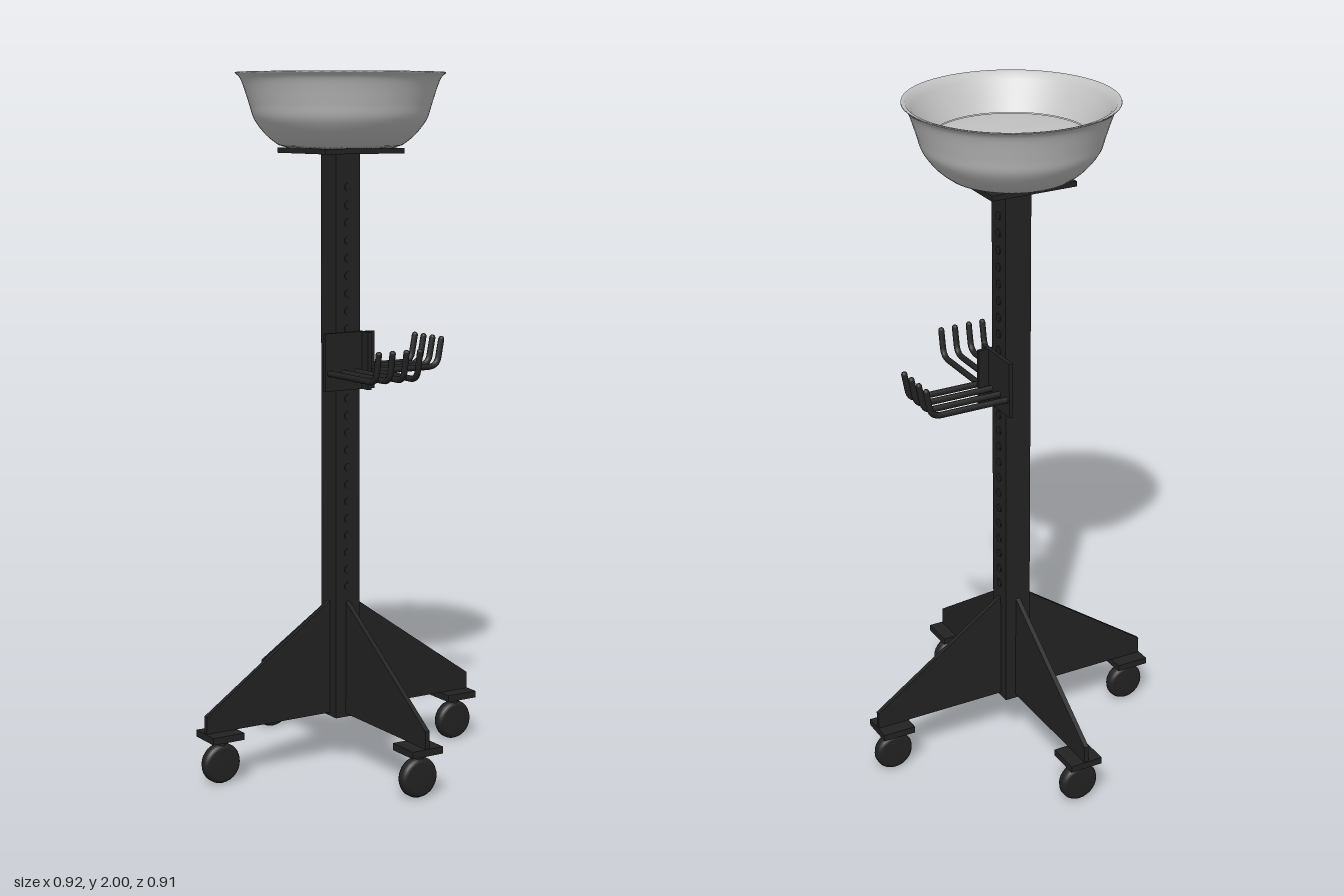
import * as THREE from 'three';

export function createModel() {
  const black = new THREE.MeshStandardMaterial({ color: 0x222222 });
  black.name = 'black metal';
  const grey = new THREE.MeshStandardMaterial({ color: 0xc4c4c4, side: THREE.DoubleSide });
  grey.name = 'grey bowl';

  const model = new THREE.Group();
  model.name = 'rollingStand';

  function add(parent, name, geometry, material, x = 0, y = 0, z = 0) {
    const mesh = new THREE.Mesh(geometry, material);
    mesh.name = name;
    mesh.position.set(x, y, z);
    parent.add(mesh);
    return mesh;
  }
  const points = (list) => list.map(([r, y]) => new THREE.Vector2(r, y));

  // Square post and the plate under the bowl
  add(model, 'post', new THREE.BoxGeometry(0.08, 1.64, 0.08), black, 0, 0.96, 0);
  add(model, 'topPlate', new THREE.BoxGeometry(0.26, 0.015, 0.26), black, 0, 1.782, 0);

  // Bowl: outer shell, rolled rim and inner wall in one profile
  const bowl = new THREE.Group();
  bowl.name = 'bowl';
  model.add(bowl);
  const wall = new THREE.SplineCurve(points([
    [0.175, 1.797], [0.21, 1.825], [0.243, 1.868], [0.257, 1.91], [0.273, 1.96], [0.284, 1.985], [0.297, 1.997],
  ])).getPoints(24);
  add(bowl, 'bowlShell', new THREE.LatheGeometry([
    ...points([[0, 1.79], [0.15, 1.79]]), ...wall,
    ...points([[0.296, 2], [0.285, 1.997], [0.27, 1.98], [0.252, 1.95], [0.217, 1.9]]),
  ], 64), grey);
  add(bowl, 'bowlFloor', new THREE.LatheGeometry(
    points([[0.217, 1.898], [0.17, 1.904], [0.1, 1.91], [0, 1.913]]), 64), grey);

  // Four tapered legs with swivel casters
  const legShape = new THREE.Shape(points([
    [0, 0.15], [0.45, 0.15], [0.45, 0.2], [0.04, 0.485], [0, 0.485],
  ]));
  const legGeometry = new THREE.ExtrudeGeometry(legShape, { depth: 0.014, bevelEnabled: false });
  legGeometry.translate(0, 0, -0.007);
  const plateGeometry = new THREE.BoxGeometry(0.1, 0.02, 0.1);
  const stemGeometry = new THREE.CylinderGeometry(0.016, 0.016, 0.04, 16);
  const wheelGeometry = new THREE.LatheGeometry(points([
    [0, -0.019], [0.045, -0.019], [0.054, -0.015], [0.058, -0.007],
    [0.058, 0.007], [0.054, 0.015], [0.045, 0.019], [0, 0.019],
  ]), 28);
  wheelGeometry.rotateX(Math.PI / 2);
  for (let i = 0; i < 4; i++) {
    const angle = i * Math.PI / 2;
    const x = 0.403 * Math.cos(angle), z = -0.403 * Math.sin(angle);
    add(model, 'leg', legGeometry, black).rotation.y = angle;
    add(model, 'casterPlate', plateGeometry, black, x, 0.14, z);
    add(model, 'casterStem', stemGeometry, black, x, 0.115, z);
    add(model, 'wheel', wheelGeometry, black, x, 0.058, z);
  }

  // Hook rack and row of studs, on the front and the left face of the post
  const hookPath = new THREE.CurvePath();
  const v = (y, z) => new THREE.Vector3(0, y, z);
  hookPath.add(new THREE.LineCurve3(v(1.156, 0.045), v(1.156, 0.26)));
  hookPath.add(new THREE.QuadraticBezierCurve3(v(1.156, 0.26), v(1.156, 0.288), v(1.182, 0.294)));
  hookPath.add(new THREE.LineCurve3(v(1.182, 0.294), v(1.235, 0.304)));
  const hookGeometry = new THREE.TubeGeometry(hookPath, 40, 0.009, 10);
  const tipGeometry = new THREE.SphereGeometry(0.009, 10, 8);
  const studGeometry = new THREE.CylinderGeometry(0.012, 0.012, 0.008, 14);
  studGeometry.rotateX(Math.PI / 2);
  const bracketGeometry = new THREE.BoxGeometry(0.165, 0.165, 0.012);
  for (const angle of [0, Math.PI / 2]) {
    const face = new THREE.Group();
    face.name = angle === 0 ? 'frontRack' : 'leftRack';
    face.rotation.y = angle;
    model.add(face);
    add(face, 'bracketPlate', bracketGeometry, black, 0, 1.188, 0.046);
    for (const x of [-0.068, -0.023, 0.023, 0.068]) {
      add(face, 'hook', hookGeometry, black, x);
      add(face, 'hookTip', tipGeometry, black, x, 1.235, 0.304);
    }
    for (let y = 0.53; y < 1.7; y += 0.05) {
      add(face, 'stud', studGeometry, black, 0, y, 0.039);
    }
  }
  return model;
}
